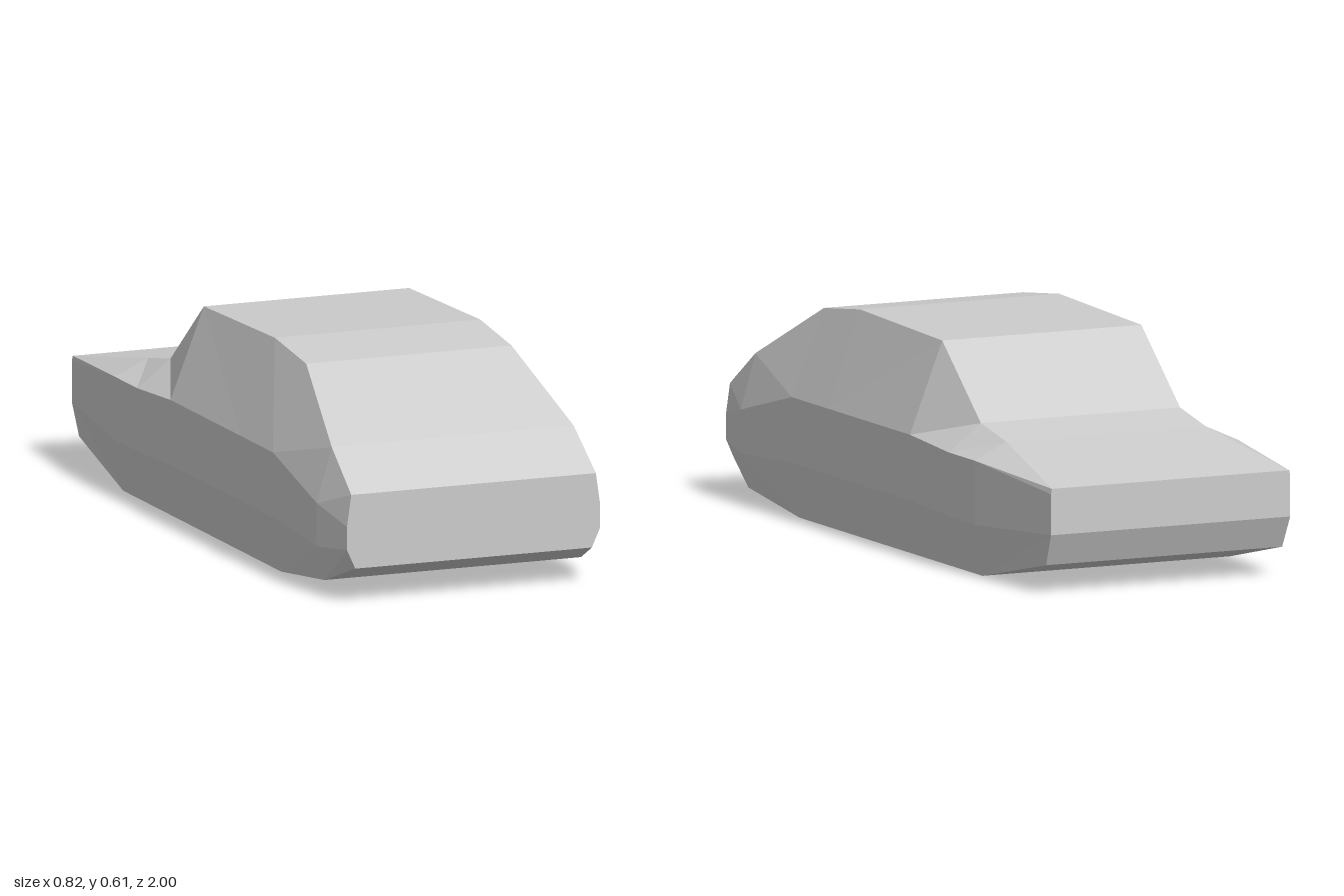
import * as THREE from 'three';

// Cross-sections from nose to tail; each row is sill, lower side, waist and top as [x, y, z]
const section = (z, sill, low, waist, top, sillZ = z) => [
  [...sill, sillZ], [...low, z], [...waist, z], [...top, z],
];
const SECTIONS = [
  section(1.0, [0.355, 0.10], [0.38, 0.155], [0.38, 0.22], [0.367, 0.31]),
  section(0.85, [0.385, 0.04], [0.408, 0.137], [0.408, 0.26], [0.363, 0.415]),
  section(0.535, [0.383, 0], [0.408, 0.155], [0.408, 0.34], [0.308, 0.583]),
  section(0.31, [0.383, 0], [0.408, 0.155], [0.408, 0.34], [0.308, 0.611]),
  section(-0.2, [0.383, 0], [0.408, 0.155], [0.408, 0.34], [0.308, 0.597]),
  section(-0.44, [0.383, 0], [0.408, 0.147], [0.408, 0.325], [0.308, 0.40]),
  section(-0.6, [0.383, 0], [0.408, 0.145], [0.408, 0.325], [0.308, 0.37]),
  section(-1.0, [0.365, 0.08], [0.37, 0.17], [0.37, 0.285], [0.367, 0.30], -0.96),
];
const ROOF = 3;

const mirror = ([x, y, z]) => [-x, y, z];

// Collects flat quads, then turns them into one faceted mesh
function panelMesh(name, addPanels) {
  const positions = [];
  const quad = (a, b, c, d) => positions.push(...a, ...b, ...c, ...a, ...c, ...d);
  addPanels(quad);
  const geometry = new THREE.BufferGeometry();
  geometry.setAttribute('position', new THREE.Float32BufferAttribute(positions, 3));
  geometry.computeVertexNormals();
  const mesh = new THREE.Mesh(
    geometry,
    new THREE.MeshStandardMaterial({ color: 0xcccccc, flatShading: true }),
  );
  mesh.name = name;
  return mesh;
}

export function createModel() {
  const car = new THREE.Group();
  car.name = 'carBody';
  const spans = SECTIONS.slice(1).map((back, i) => [SECTIONS[i], back, i]);

  // Left and right flanks, from sill to roof edge
  for (const [name, left] of [['leftSide', true], ['rightSide', false]]) {
    car.add(panelMesh(name, (quad) => {
      for (const [front, back, i] of spans) {
        for (let j = 0; j < ROOF; j++) {
          let corners = [front[j], back[j], back[j + 1], front[j + 1]];
          // The nose folds along the other diagonal
          if (i < 2) corners = [...corners.slice(1), corners[0]];
          if (!left) corners = corners.map(mirror).reverse();
          // Reversing swaps the fold, so rotate it back
          if (!left) corners = [...corners.slice(1), corners[0]];
          quad(...corners);
        }
      }
    }));
  }

  // Bonnet, windscreen, roof, rear window and boot
  car.add(panelMesh('topPanels', (quad) => {
    for (const [front, back] of spans) {
      quad(front[ROOF], back[ROOF], mirror(back[ROOF]), mirror(front[ROOF]));
    }
  }));

  // Underside
  car.add(panelMesh('floor', (quad) => {
    for (const [front, back] of spans) {
      quad(mirror(front[0]), mirror(back[0]), back[0], front[0]);
    }
  }));

  // Nose and tail
  const nose = SECTIONS[0];
  const tail = SECTIONS[SECTIONS.length - 1];
  car.add(panelMesh('nosePanel', (quad) => {
    for (let j = 0; j < ROOF; j++) quad(mirror(nose[j]), nose[j], nose[j + 1], mirror(nose[j + 1]));
  }));
  car.add(panelMesh('tailPanel', (quad) => {
    for (let j = 0; j < ROOF; j++) quad(tail[j], mirror(tail[j]), mirror(tail[j + 1]), tail[j + 1]);
  }));

  return car;
}
